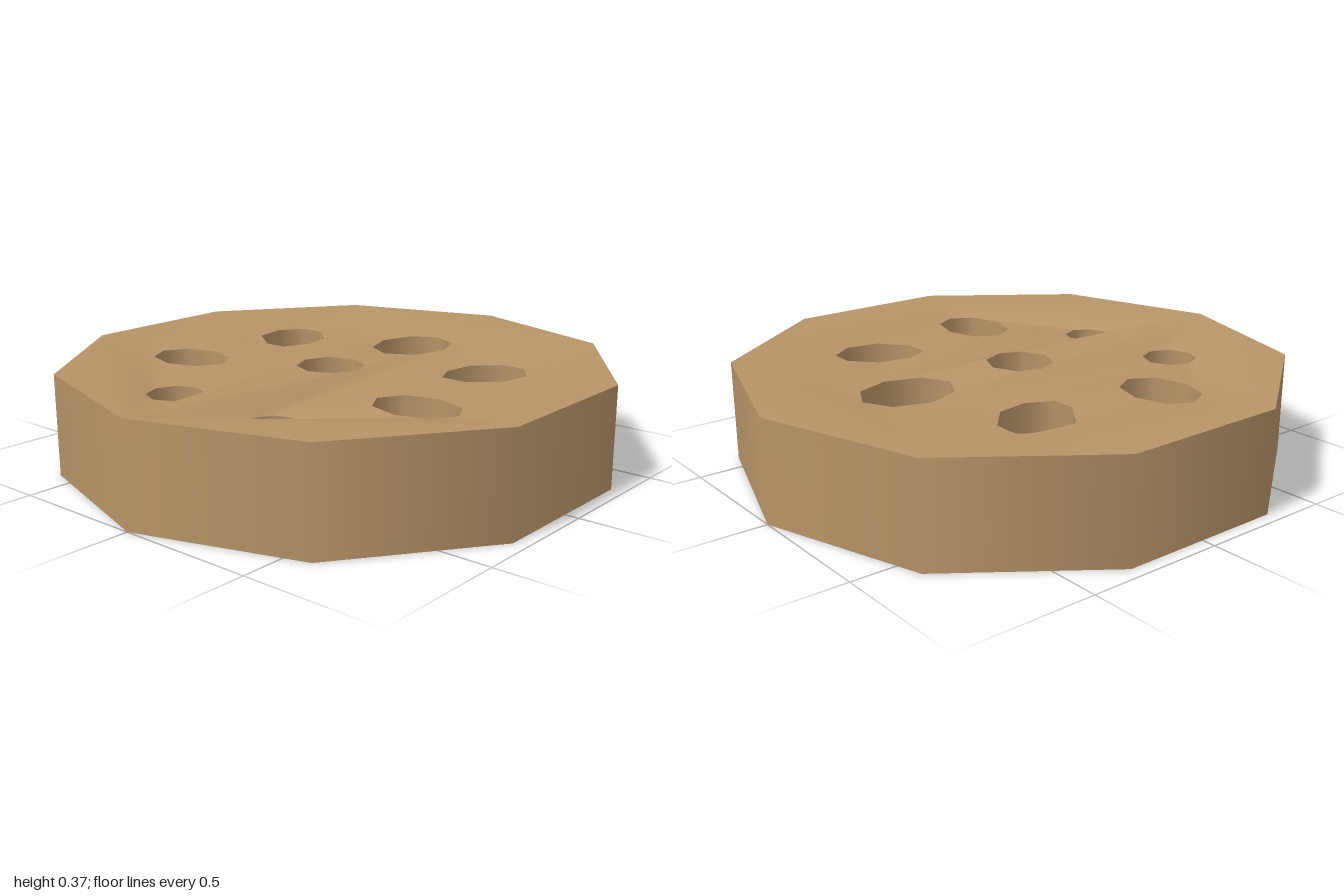
import * as THREE from 'three';

const HALF = 0.1825; // half the thickness at the rim
const RIM_SIDES = 10;
const HOLE_SIDES = 8;

// Corners of a polygon on an ellipse, in plan: x to the right, z towards the front
function ring(x, z, rx, rz, sides) {
  return Array.from({ length: sides }, (_, i) => {
    const a = (i / sides) * Math.PI * 2;
    return [x + rx * Math.cos(a), z + rz * Math.sin(a)];
  });
}

// Plan points become shape points; the shape's y is -z once laid flat
const toPoints = (plan) => plan.map(([x, z]) => new THREE.Vector2(x, -z));

// Holes, each with the depth by which both faces sink towards it
const holes = [
  { sink: 0.018, plan: ring(-0.04, 0, 0.122, 0.123, HOLE_SIDES) },
  { sink: 0.032, plan: ring(0.45, 0, 0.177, 0.142, HOLE_SIDES) },
  { sink: 0.035, plan: ring(-0.235, -0.52, 0.12, 0.16, HOLE_SIDES) },
  { sink: 0.035, plan: ring(-0.23, 0.527, 0.12, 0.165, HOLE_SIDES) },
  { sink: 0.052, plan: ring(-0.58, -0.23, 0.1, 0.1, HOLE_SIDES) },
  { sink: 0.067, plan: ring(-0.585, 0.23, 0.088, 0.09, HOLE_SIDES) },
  { sink: 0.035, plan: [[0.203, -0.58], [0.326, -0.596], [0.413, -0.535], [0.413, -0.445],
    [0.326, -0.35], [0.21, -0.332], [0.117, -0.38], [0.117, -0.465]] },
  { sink: 0.035, plan: [[0.214, 0.333], [0.337, 0.352], [0.417, 0.443], [0.415, 0.53],
    [0.328, 0.588], [0.209, 0.567], [0.126, 0.465], [0.128, 0.37]] },
];

// Upright wall along a ring, smooth all round; side is 1 facing outward, -1 facing inward
function wall(plan, half, side) {
  const n = plan.length;
  const positions = [], normals = [], index = [];
  plan.forEach(([x, z], i) => {
    const [px, pz] = plan[(i + n - 1) % n];
    const [qx, qz] = plan[(i + 1) % n];
    const normal = new THREE.Vector3(qz - pz, 0, px - qx).normalize().multiplyScalar(side);
    positions.push(x, -half, z, x, half, z);
    normals.push(...normal.toArray(), ...normal.toArray());
    const a = 2 * i, b = 2 * ((i + 1) % n);
    if (side > 0) index.push(a, a + 1, b, b, a + 1, b + 1);
    else index.push(a, b, a + 1, b, b + 1, a + 1);
  });
  const geometry = new THREE.BufferGeometry();
  geometry.setAttribute('position', new THREE.Float32BufferAttribute(positions, 3));
  geometry.setAttribute('normal', new THREE.Float32BufferAttribute(normals, 3));
  geometry.setIndex(index);
  return geometry;
}

// Pierced face, sunk around each hole
function topFace(rim) {
  const outline = new THREE.Shape(toPoints(rim).reverse());
  outline.holes = holes.map(({ plan }) => new THREE.Path(toPoints(plan)));
  const geometry = new THREE.ShapeGeometry(outline);
  geometry.rotateX(-Math.PI / 2);
  const position = geometry.attributes.position;
  for (let i = 0; i < position.count; i++) {
    const hole = holes[Math.floor((i - RIM_SIDES) / HOLE_SIDES)];
    position.setY(i, HALF - (hole ? hole.sink : 0));
  }
  geometry.computeVertexNormals();
  return geometry;
}

export function createModel() {
  const model = new THREE.Group();
  model.name = 'perforatedDisc';
  const tan = new THREE.MeshStandardMaterial({ color: 0xb89468 });
  tan.name = 'tan';

  const add = (name, geometry) => {
    const mesh = new THREE.Mesh(geometry, tan);
    mesh.name = name;
    mesh.position.y = HALF;
    model.add(mesh);
  };

  // Ten-sided rim
  const rim = ring(0, 0, 1, 1, RIM_SIDES);
  add('rim', wall(rim, HALF, 1));

  // Top face, and the same mirrored underneath
  const top = topFace(rim);
  const bottom = top.clone().scale(1, -1, 1);
  bottom.setIndex(Array.from(top.index.array).reverse());
  bottom.computeVertexNormals();
  add('topFace', top);
  add('bottomFace', bottom);

  // Walls inside the holes
  holes.forEach(({ plan, sink }) => add('holeWall', wall(plan, HALF - sink, -1)));
  return model;
}
